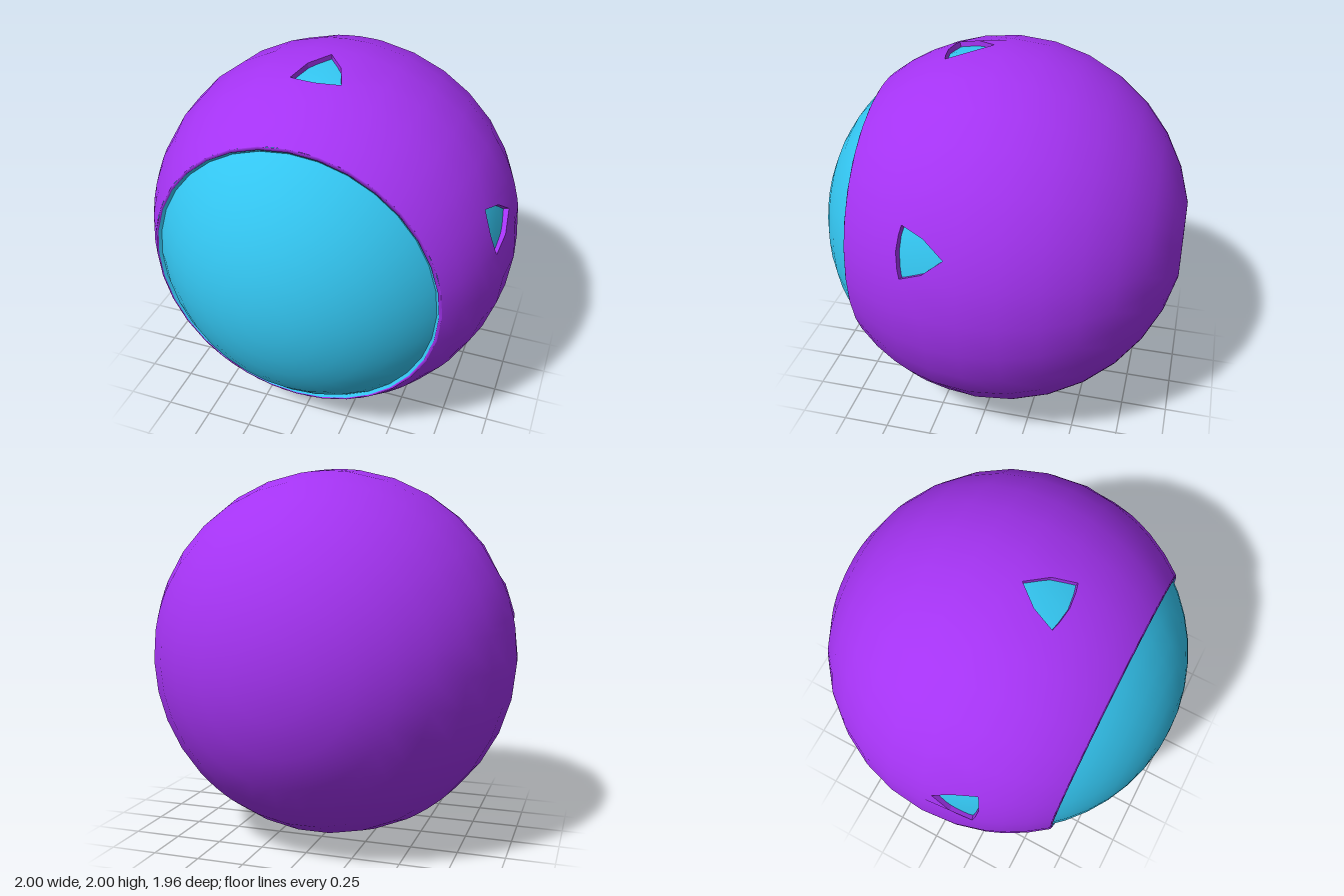
import * as THREE from 'three';

const RAD = Math.PI / 180;
const PURPLE = 0xa433f2, BLUE = 0x33c5f0;

// Columns of one 72 degree sector, measured from the middle of its window
const OFFSETS = [-30.5, -19, -7.8, -5, 0, 5, 7.8, 19, 30.5];
// Polar angle (from +z) of the window's front and back edge at each column;
// outside the window the two edges meet
const FRONT_EDGE = { 0: 72.4, 5: 73.0, 7.8: 73.7, 19: 79, 30.5: 80 };
const BACK_EDGE = { 0: 86.5, 5: 80.5, 7.8: 73.7, 19: 79, 30.5: 80 };

const columns = [];
for (let k = 0; k < 5; k++) {
  for (const off of OFFSETS) columns.push({ angle: 90 + 72 * k + off, key: Math.abs(off), off });
}

// Point on a sphere around the z axis
function point(azimuth, polar, r) {
  const a = azimuth * RAD, t = polar * RAD;
  return new THREE.Vector3(r * Math.sin(t) * Math.cos(a), r * Math.sin(t) * Math.sin(a), r * Math.cos(t));
}

function material(color) {
  return new THREE.MeshStandardMaterial({ color, side: THREE.DoubleSide });
}

function addMesh(group, name, geometry, color) {
  const mesh = new THREE.Mesh(geometry, material(color));
  mesh.name = name;
  group.add(mesh);
  return mesh;
}

// Outer skin: rings of a sphere, open at the front, with five windows left out
function shellGeometry() {
  const rows = [50.3, 57.5, 65, 70.3, FRONT_EDGE, BACK_EDGE, 90];
  for (let i = 1; i <= 7; i++) rows.push(90 + i * 11.2);
  rows.push(180);
  const positions = [], normals = [], index = [];
  const n = columns.length;
  rows.forEach((row) => {
    for (const c of columns) {
      const polar = typeof row === 'number' ? row : row[c.key];
      // the back pole is a flat facet
      const p = point(c.angle, polar, polar === 180 ? 0.98 : 1);
      positions.push(p.x, p.y, p.z);
      p.normalize();
      normals.push(p.x, p.y, p.z);
    }
  });
  for (let r = 0; r < rows.length - 1; r++) {
    if (rows[r] === FRONT_EDGE) continue;
    for (let c = 0; c < n; c++) {
      const a = r * n + c, b = r * n + (c + 1) % n;
      index.push(a, a + n, b, b, a + n, b + n);
    }
  }
  const geo = new THREE.BufferGeometry();
  geo.setAttribute('position', new THREE.Float32BufferAttribute(positions, 3));
  geo.setAttribute('normal', new THREE.Float32BufferAttribute(normals, 3));
  geo.setIndex(index);
  return geo;
}

// Thin side walls of the windows, running inwards from the skin
function windowWallGeometry() {
  const positions = [];
  const add = (...pts) => pts.forEach((p) => positions.push(p.x, p.y, p.z));
  for (let i = 0; i < columns.length - 1; i++) {
    const c = columns[i], d = columns[i + 1];
    if (c.off < -7.8 || c.off >= 7.8) continue;
    for (const edge of [FRONT_EDGE, BACK_EDGE]) {
      const a = point(c.angle, edge[c.key], 1), b = point(d.angle, edge[d.key], 1);
      const a2 = a.clone().multiplyScalar(0.96), b2 = b.clone().multiplyScalar(0.96);
      if (edge === FRONT_EDGE) add(a, b, a2, b, b2, a2);
      else add(a, a2, b, b, a2, b2);
    }
  }
  const geo = new THREE.BufferGeometry();
  geo.setAttribute('position', new THREE.Float32BufferAttribute(positions, 3));
  geo.computeVertexNormals();
  return geo;
}

// Ring turned around the z axis from [radius, z] pairs
function ring(pairs) {
  const geo = new THREE.LatheGeometry(pairs.map(([r, z]) => new THREE.Vector2(r, z)), 32);
  return geo.rotateX(Math.PI / 2);
}

export function createModel() {
  const group = new THREE.Group();
  group.name = 'shelledBall';
  const ball = new THREE.Group();
  ball.name = 'ball';
  ball.position.y = 1;
  group.add(ball);

  addMesh(ball, 'outerShell', shellGeometry(), PURPLE);
  addMesh(ball, 'windowWalls', windowWallGeometry(), PURPLE);

  // Front opening: purple lip, then a narrow blue step down to the dome
  addMesh(ball, 'openingLip', ring([[0.757, 0.61], [0.757, 0.645], [0.771, 0.638]]), PURPLE);
  addMesh(ball, 'innerStep', ring([[0.742, 0.63], [0.757, 0.642]]), BLUE);

  // Inner ball, seen through the opening and the windows
  const core = new THREE.SphereGeometry(0.977, 32, 24).rotateX(Math.PI / 2);
  addMesh(ball, 'innerBall', core, BLUE);

  return group;
}
